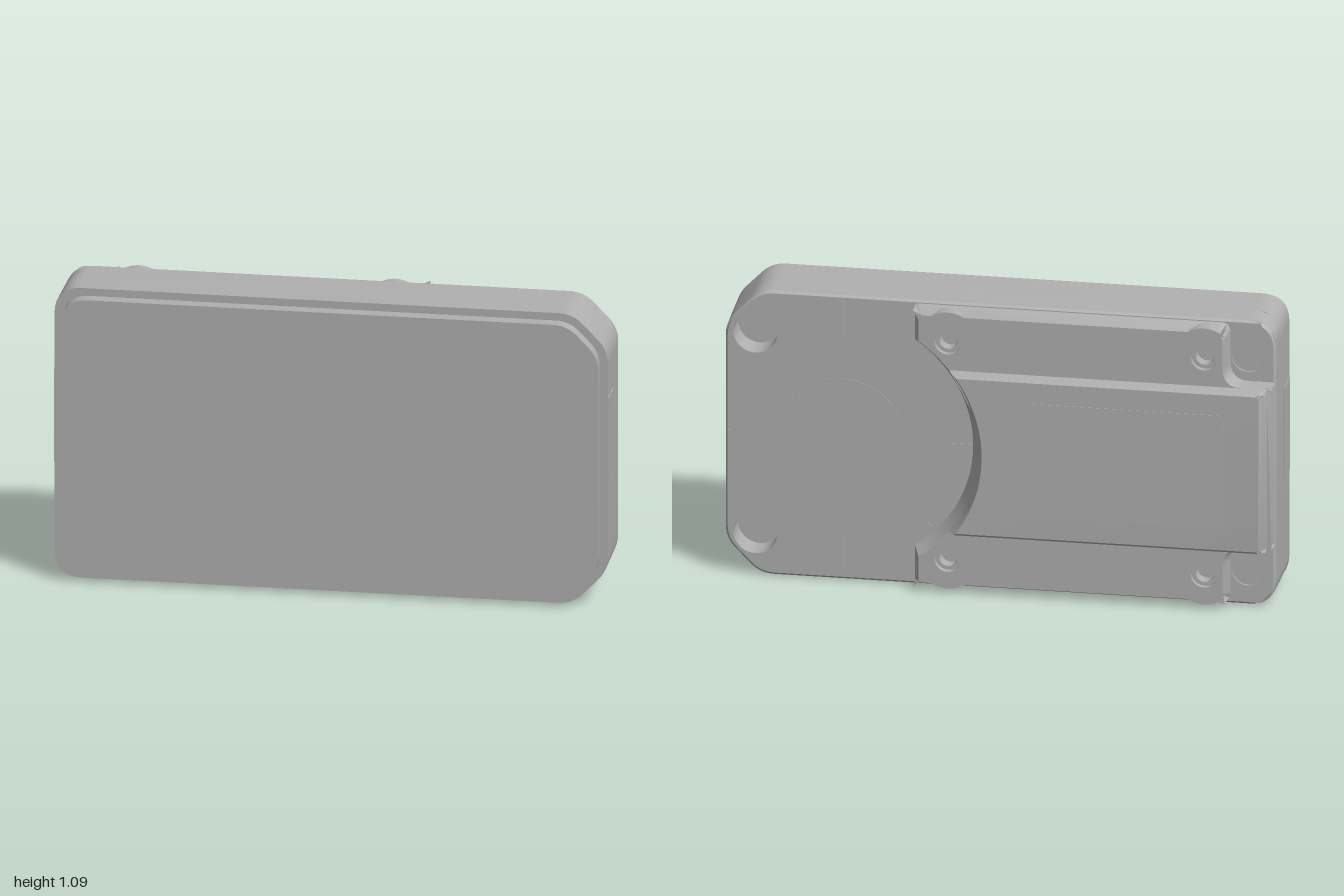
import * as THREE from 'three';
import { toCreasedNormals } from 'three/addons/utils/BufferGeometryUtils.js';

// Polygon with softened corners; each corner is [x, y, softening distance]
function softPolygon(corners, steps = 8) {
  const out = [];
  const n = corners.length;
  corners.forEach(([x, y, t], i) => {
    const c = new THREE.Vector2(x, y);
    if (!t) return out.push(c);
    const toward = ([px, py]) =>
      new THREE.Vector2(px, py).sub(c).setLength(t).add(c);
    const curve = new THREE.QuadraticBezierCurve(
      toward(corners[(i + n - 1) % n]), c, toward(corners[(i + 1) % n]));
    out.push(...curve.getPoints(steps));
  });
  return out;
}

// Solid between a front outline and a matching back outline
function slab(front, back, zBack, zFront, holes = []) {
  const shape = new THREE.Shape(front);
  for (const [x, y, r] of holes) {
    shape.holes.push(new THREE.Path().absarc(x, y, r, 0, Math.PI * 2, true));
  }
  const geo = new THREE.ExtrudeGeometry(shape, {
    depth: zFront - zBack, bevelEnabled: false, curveSegments: 24 });
  const key = (x, y) => `${x.toFixed(4)},${y.toFixed(4)}`;
  const match = new Map(front.map((p, i) => [key(p.x, p.y), back[i]]));
  const pos = geo.attributes.position;
  for (let i = 0; i < pos.count; i++) {
    if (pos.getZ(i) > 1e-6) continue;
    const b = match.get(key(pos.getX(i), pos.getY(i)));
    if (b) pos.setXY(i, b.x, b.y);
  }
  geo.translate(0, 0, zBack);
  return toCreasedNormals(geo, 0.5);
}

const H = 0.545; // half height; outlines are centred on y = 0
const CX = 0.57; // centre of the round recess

// Case outline: two rounded corners, two chamfered ones
function caseOutline(i) {
  const k = 0.414 * i, x = 0.997 - i, y = H - i;
  return softPolygon([
    [-x, -y, 0.1], [0.87 - k, -y, 0.05], [x, -0.415 + k, 0.05],
    [x, 0.415 - k, 0.05], [0.87 - k, y, 0.05], [-x, y, 0.1]]);
}

// Upper half of the circular cut, from the middle outwards
function cutArc(r, angle) {
  return Array.from({ length: 25 }, (_, i) => {
    const a = (angle * i) / 24;
    return [CX - r * Math.cos(a), r * Math.sin(a), 0];
  });
}

// Closes a half outline by mirroring it over y = 0
function mirrored(half) {
  const lower = half.slice(1).reverse().map(([x, y, t]) => [x, -y, t]);
  return softPolygon([...half, ...lower]);
}

function deckOutline(r, xTip, top, xNotch, band, xEnd) {
  return mirrored([
    ...cutArc(r, Math.acos((CX - xTip) / r)),
    [xTip, top, 0.015], [xNotch, top, 0.035], [xNotch, band, 0.07], [xEnd, band, 0.012]]);
}

function ridgeOutline(r, band, xEnd) {
  return mirrored([...cutArc(r, Math.asin(band / r)), [xEnd, band, 0.012]]);
}

function circle(x, y, r) {
  return new THREE.Shape().absarc(x, y, r, 0, Math.PI * 2).getPoints(32).slice(0, -1);
}

export function createModel() {
  const model = new THREE.Group();
  const grey = new THREE.MeshStandardMaterial({ color: 0xb0b0b0 });
  grey.name = 'casing grey';
  const add = (name, geo) => {
    const mesh = new THREE.Mesh(geo, grey);
    mesh.name = name;
    mesh.position.y = H;
    model.add(mesh);
    return mesh;
  };
  const disc = (name, x, y, r, z0, z1) => {
    const c = circle(x, y, r);
    return add(name, slab(c, c, z0, z1));
  };

  // Front lid and case, with a softened rear rim
  const lid = caseOutline(0.028);
  add('frontLid', slab(lid, lid, 0.165, 0.215));
  add('caseFront', slab(caseOutline(0), caseOutline(0.002), 0, 0.165));
  const pockets = [];
  for (const s of [-1, 1]) pockets.push([0.885, s * 0.383, 0.08], [-0.895, s * 0.408, 0.062]);
  add('caseBack', slab(caseOutline(0.002), caseOutline(0.004), -0.092, 0, pockets));
  add('caseRim', slab(caseOutline(0.004), caseOutline(0.012), -0.1, -0.092, pockets));

  // Raised rear deck with four screw holes, and the ridge along its middle
  const screws = [];
  for (const x of [-0.745, 0.18]) for (const s of [-1, 1]) screws.push([x, s * 0.415, 0.048]);
  add('rearDeck', slab(
    deckOutline(0.47, 0.31, 0.53, -0.83, 0.312, -0.99),
    deckOutline(0.5, 0.285, 0.51, -0.812, 0.307, -0.972), -0.165, -0.098, screws));
  add('rearRidge', slab(
    ridgeOutline(0.5, 0.307, -0.972), ridgeOutline(0.517, 0.304, -0.958), -0.21, -0.165));
  add('ridgeEdge', slab(
    ridgeOutline(0.517, 0.304, -0.958), ridgeOutline(0.521, 0.296, -0.95), -0.216, -0.21));

  // Label panel on the ridge
  const label = softPolygon([
    [-0.82, -0.218, 0.02], [-0.105, -0.218, 0.02], [-0.105, 0.218, 0.02], [-0.82, 0.218, 0.02]]);
  add('labelPanel', slab(label, label, -0.218, -0.214));

  // Screw seats, and lugs swelling out of the sloped deck sides
  for (const [x, y] of screws) {
    const seat = circle(x, y, 0.048);
    add('screwSeat', slab(seat, seat, -0.145, -0.098, [[x, y, 0.034]]));
    const lug = Array.from({ length: 17 }, (_, i) => {
      const a = Math.sign(y) * Math.PI / 2 + THREE.MathUtils.degToRad(-42 + 84 * i / 16);
      return new THREE.Vector2(x + 0.112 * Math.cos(a), y + 0.112 * Math.sin(a));
    });
    add('screwLug', slab(lug, lug, -0.165, -0.1));
  }

  // Shallow floors of the corner pockets
  for (const s of [-1, 1]) disc('pocketFloor', -0.895, s * 0.408, 0.062, -0.092, 0);

  // Round mark and radial ticks in the recess
  disc('roundMark', CX, 0, 0.225, -0.102, -0.098);
  const tick = (angle, r0, r1) => {
    const geo = new THREE.BoxGeometry(r1 - r0, 0.008, 0.004);
    geo.translate((r0 + r1) / 2, 0, 0).rotateZ(angle).translate(CX, 0, -0.1);
    add('tickMark', geo);
  };
  for (const s of [-1, 1]) {
    tick(s * Math.PI / 2, 0.38, 0.52);
    tick(s * Math.PI * 0.75, 0.38, 0.46);
  }
  tick(Math.PI, 0.38, 0.46);
  tick(0, 0.39, 0.415);

  // Thin pads on both ends
  for (const s of [-1, 1]) {
    const pad = add('endPad', new THREE.BoxGeometry(0.006, 0.35, 0.11));
    pad.position.set(s * 0.997, 0.605, 0.108);
  }
  return model;
}
